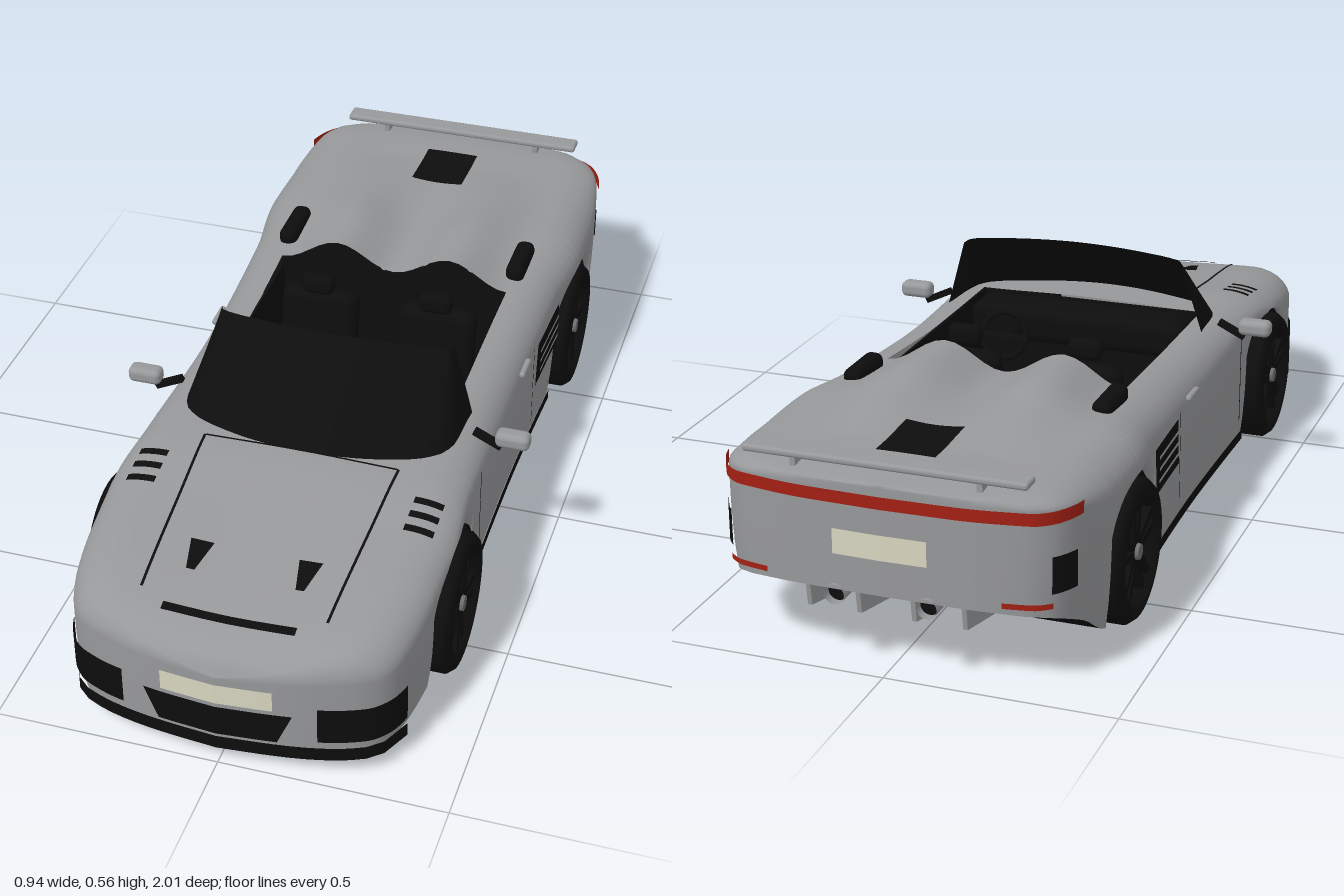
import * as THREE from 'three';
import { RoundedBoxGeometry } from 'three/addons/geometries/RoundedBoxGeometry.js';

const mat = (name, color, side = THREE.DoubleSide) => {
  const m = new THREE.MeshStandardMaterial({ color, side });
  m.name = name;
  return m;
};

// Smooth monotone interpolation through [z, value] pairs
function table(p) {
  const s = p.slice(1).map((q, i) => (q[1] - p[i][1]) / (q[0] - p[i][0]));
  const m = p.map((_, i) => {
    if (i === 0) return s[0];
    if (i === p.length - 1) return s[i - 1];
    return s[i - 1] * s[i] <= 0 ? 0 : (2 * s[i - 1] * s[i]) / (s[i - 1] + s[i]);
  });
  return (z) => {
    if (z <= p[0][0]) return p[0][1];
    let i = 0;
    while (i < p.length - 1 && z > p[i + 1][0]) i++;
    if (i === p.length - 1) return p[i][1];
    const h = p[i + 1][0] - p[i][0], t = (z - p[i][0]) / h, t2 = t * t, t3 = t2 * t;
    return p[i][1] * (2 * t3 - 3 * t2 + 1) + m[i] * h * (t3 - 2 * t2 + t)
      + p[i + 1][1] * (3 * t2 - 2 * t3) + m[i + 1] * h * (t3 - t2);
  };
}

// Body curves along z: half width, centre and shoulder heights, shoulder roll, humps, underside
const W = table([[-1, 0], [-0.995, 0.17], [-0.985, 0.25], [-0.97, 0.32], [-0.93, 0.36], [-0.88, 0.38], [-0.75, 0.4], [-0.58, 0.405], [-0.4, 0.385], [0, 0.375], [0.4, 0.38], [0.55, 0.39], [0.7, 0.385], [0.8, 0.375], [0.88, 0.355], [0.93, 0.32], [0.96, 0.26], [0.98, 0.18], [0.99, 0.11], [1, 0]]);
const centreY = table([[-1, 0.425], [-0.9, 0.435], [-0.7, 0.435], [-0.5, 0.425], [-0.3, 0.415], [0, 0.4], [0.42, 0.395], [0.6, 0.365], [0.8, 0.33], [0.9, 0.31], [0.95, 0.295], [0.98, 0.275], [1, 0.24]]);
const shoulderY = table([[-1, 0.42], [-0.9, 0.43], [-0.6, 0.43], [-0.3, 0.41], [0, 0.395], [0.42, 0.39], [0.6, 0.368], [0.8, 0.342], [0.9, 0.32], [0.95, 0.298], [0.98, 0.27], [1, 0.24]]);
const roll = table([[-1, 0.015], [-0.9, 0.04], [-0.7, 0.08], [0, 0.08], [0.5, 0.05], [0.7, 0.06], [0.9, 0.07], [0.97, 0.03], [1, 0.005]]);
const hump = table([[-0.8, 0], [-0.6, 0.028], [-0.45, 0.052], [-0.3, 0.06]]);
const underY = table([[-1, 0.185], [-0.95, 0.17], [-0.85, 0.125], [-0.74, 0.06], [0.9, 0.06], [1, 0.075]]);

const ARCHES = [0.54, -0.575], R = 0.17, AXLE = 0.16, EDGE = 0.74;
const bottomY = (z) => ARCHES.reduce((y, c) => {
  const d = Math.abs(z - c);
  return d <= R + 1e-6 ? Math.max(y, AXLE + Math.sqrt(Math.max(0, R * R - d * d))) : y;
}, underY(z));

// Height of the upper surface at fraction f of the half width
function deckF(f, z) {
  const k = Math.min(1, f / EDGE), e = Math.max(0, (f - EDGE) / (1 - EDGE));
  const y = THREE.MathUtils.lerp(centreY(z), shoulderY(z), k * k * (3 - 2 * k));
  const bump = z < -0.29 ? hump(z) * Math.sin(Math.PI * k) ** 2 : 0;
  return y + bump - roll(z) * (1 - Math.sqrt(Math.max(0, 1 - e * e)));
}
const deck = (x, z) => deckF(Math.min(1, Math.abs(x) / W(z)), z);

// Position of the nose or tail surface at a given x
function endZ(x, sign) {
  let a = 0.6, b = 1;
  for (let i = 0; i < 30; i++) {
    const c = (a + b) / 2;
    if (W(sign * c) > Math.abs(x)) a = c; else b = c;
  }
  return sign * a;
}

// Grid of points to a smooth surface; keep(i, j) can leave cells open
function surface(rows, keep = () => true) {
  const n = rows[0].length, index = [];
  for (let i = 0; i < rows.length - 1; i++) for (let j = 0; j < n - 1; j++) {
    if (!keep(i, j)) continue;
    const a = i * n + j, b = a + n;
    index.push(a, b, a + 1, b, b + 1, a + 1);
  }
  const g = new THREE.BufferGeometry();
  g.setAttribute('position', new THREE.Float32BufferAttribute(rows.flat(2), 3));
  g.setIndex(index);
  g.computeVertexNormals();
  return g;
}
const patch = (fn, nu = 12, nv = 4) => surface(Array.from({ length: nu + 1 }, (_, i) =>
  Array.from({ length: nv + 1 }, (_, j) => fn(i / nu, j / nv))));

export function createModel() {
  const car = new THREE.Group();
  const silver = mat('silver paint', 0x97989a), black = mat('black trim', 0x0d0d0d);
  const red = mat('red lamp', 0xa32014), cream = mat('cream plate', 0xd8d6c0), steel = mat('brake steel', 0x6c6d70);
  const lerp = THREE.MathUtils.lerp;
  const add = (name, geo, m, x = 0, y = 0, z = 0, parent = car) => {
    const o = new THREE.Mesh(geo, m);
    o.name = name;
    o.position.set(x, y, z);
    parent.add(o);
    return o;
  };
  const box = (name, w, h, d, m, x, y, z, parent) => add(name, new THREE.BoxGeometry(w, h, d), m, x, y, z, parent);
  const round = (name, w, h, d, r, m, x, y, z) => add(name, new RoundedBoxGeometry(w, h, d, 3, r), m, x, y, z);

  // Body shell with wheel arches and open cockpit
  const zs = Array.from({ length: 81 }, (_, i) => (i - 40) / 40);
  [0.985, 0.99, 0.994, 0.997, 0.999].forEach((z) => zs.push(z, -z));
  ARCHES.forEach((c) => {
    for (let k = 0; k <= 20; k++) zs.push(c + R * Math.cos((k * Math.PI) / 20));
    zs.push(c + R + 0.0005, c - R - 0.0005);
  });
  zs.sort((a, b) => a - b);
  const fr = [...Array.from({ length: 13 }, (_, i) => (EDGE * i) / 12), 0.8, 0.86, 0.91, 0.95, 0.98, 0.995, 1];
  const rows = zs.map((z) => {
    const w = W(z), b = bottomY(z), half = fr.map((f) => [f * w, Math.max(b, deckF(f, z))]);
    const edge = half[half.length - 1][1];
    for (let k = 1; k <= 5; k++) half.push([w * (1 - 0.03 * (k / 5) ** 3), lerp(edge, b, k / 5)]);
    const left = half.slice(1).reverse().map(([x, y]) => [-x, y, z]);
    return [...left, ...half.map(([x, y]) => [x, y, z])];
  });
  const mid = (rows[0].length - 1) / 2;
  add('bodyShell', surface(rows, (i, j) => {
    const zc = (zs[i] + zs[i + 1]) / 2;
    return !(zc > -0.3 && zc < 0.3 && j >= mid - 12 && j < mid + 12);
  }), silver);

  // Underside, kept clear of the wheels
  add('underside', surface(zs.map((z) => {
    const w = ARCHES.some((c) => Math.abs(z - c) <= R + 1e-6) ? 0.25 : W(z) * 0.97;
    return [-1, 0, 1].map((s) => [s * w, underY(z) + 0.001, z]);
  })), black);

  // Panels that follow the nose, tail, deck and flanks
  const onEnd = (name, sign, x0, x1, yLow, yHigh, m, taper = 1) => add(name, patch((u, v) => {
    const x = lerp(x0, x1, u) * lerp(taper, 1, v), s = 1.012;
    return [x * s, lerp(yLow, yHigh, v), endZ(x, sign) + sign * 0.005];
  }, 24, 3), m);
  const onDeck = (name, x0, x1, z0, z1, m, taper = 1, shift = 0) => add(name, patch((u, v) => {
    const z = lerp(z0, z1, v), c = (x0 + x1) / 2;
    const x = c + (lerp(x0, x1, u) - c) * lerp(1, taper, v) + shift * v;
    return [x, deck(x, z) + 0.004, z];
  }, 6, 10), m);
  const onSide = (name, s, z0, z1, y0, y1, m, off = 0.004, slant = 0) => add(name, patch((u, v) => {
    const z = lerp(z0, z1, u) + slant * v;
    return [s * (W(z) + off), lerp(y0, y1, v), z];
  }, 10, 2), m);

  onEnd('frontPlate', 1, -0.12, 0.12, 0.175, 0.225, cream);
  onEnd('centreIntake', 1, -0.16, 0.16, 0.09, 0.165, black, 0.8);
  onEnd('frontLip', 1, -0.365, 0.365, 0.05, 0.083, black);
  onEnd('rearPlate', -1, -0.1, 0.1, 0.265, 0.32, cream);
  add('tailLamp', patch((u, v) => {
    const x = 0.381 * Math.sin((u - 0.5) * Math.PI), y = lerp(0.375, 0.402, v);
    return [x * 1.012, y, endZ(x, -1) - 0.004];
  }, 48, 2), red);
  onDeck('noseSlot', -0.145, 0.145, 0.893, 0.912, black);
  onDeck('hoodRearGap', -0.22, 0.22, 0.418, 0.423, black);
  onDeck('engineHatch', -0.065, 0.065, -0.86, -0.7, black);

  for (const s of [1, -1]) {
    onEnd('sideIntake', 1, s * 0.21, s * 0.365, 0.1, 0.19, black);
    onEnd('rearReflector', -1, s * 0.25, s * 0.345, 0.195, 0.207, red);
    onDeck('hoodNostril', s * 0.12 - 0.026, s * 0.12 + 0.026, 0.72, 0.8, black, 0.35);
    onDeck('hoodGap', s * 0.222 - 0.003, s * 0.222 + 0.003, 0.42, 0.87, black, 1, s * -0.02);
    for (const z of [0.5, 0.54, 0.58]) onDeck('fenderLouvre', s * 0.28, s * 0.345, z - 0.009, z + 0.009, black);
    onSide('doorFrontGap', s, 0.307, 0.312, 0.12, 0.34, black, 0.002);
    onSide('doorRearGap', s, -0.2, -0.197, 0.12, 0.33, black, 0.002);
    onSide('sill', s, -0.4, 0.365, 0.05, 0.075, black, -0.006);
    // Slatted flank vent
    onSide('flankVent', s, -0.405, -0.215, 0.215, 0.325, black, 0.004, -0.012);
    for (const y of [0.243, 0.27, 0.297]) onSide('ventSlat', s, -0.4, -0.235, y, y + 0.008, silver, 0.009);
    onSide('rearSideVent', s, -0.955, -0.9, 0.225, 0.305, black, 0.006);
    round('doorHandle', 0.014, 0.014, 0.07, 0.006, silver, s * 0.379, 0.34, -0.105);
    round('deckScoop', 0.045, 0.045, 0.14, 0.018, black, s * 0.287, 0.425, -0.42);
    // Door mirror
    round('mirror', 0.078, 0.038, 0.042, 0.014, silver, s * 0.432, 0.391, 0.237);
    box('mirrorStalk', 0.07, 0.014, 0.016, black, s * 0.375, 0.38, 0.237).rotation.z = s * -0.45;
    // Exhaust pipe and diffuser fins
    const pipe = add('exhaust', new THREE.CylinderGeometry(0.022, 0.022, 0.1, 20, 1, true), silver, s * 0.1, 0.175, -0.955);
    pipe.rotation.x = Math.PI / 2;
    add('exhaustBore', new THREE.CircleGeometry(0.021, 20), black, s * 0.1, 0.175, -0.985);
    for (const x of [0.06, 0.17]) {
      const fin = new THREE.Shape([[0.76, 0.075], [0.96, 0.12], [0.97, 0.19], [0.9, 0.17]].map((p) => new THREE.Vector2(...p)));
      const f = add('diffuserFin', new THREE.ExtrudeGeometry(fin, { depth: 0.01, bevelEnabled: false }), silver, s * x, 0, 0);
      f.rotation.y = Math.PI / 2;
    }
    // Rear wing supports
    box('wingSupport', 0.012, 0.03, 0.03, silver, s * 0.2, 0.438, -0.95);
    // Seat
    round('seatBase', 0.19, 0.08, 0.22, 0.03, black, s * 0.145, 0.2, -0.05);
    round('seatBack', 0.19, 0.25, 0.06, 0.028, black, s * 0.145, 0.29, -0.17).rotation.x = -0.15;
    round('headrest', 0.08, 0.05, 0.04, 0.018, black, s * 0.145, 0.44, -0.165);
    box('cockpitWall', 0.006, 0.3, 0.62, black, s * 0.279, 0.24, 0);
  }
  round('rearWing', 0.61, 0.016, 0.05, 0.007, silver, 0, 0.455, -0.955);

  // Cockpit interior
  box('cockpitFloor', 0.56, 0.01, 0.62, black, 0, 0.1, 0);
  box('footBulkhead', 0.56, 0.29, 0.006, black, 0, 0.245, 0.3);
  box('tunnel', 0.07, 0.12, 0.5, black, 0, 0.16, 0);
  round('dashboard', 0.54, 0.09, 0.12, 0.03, black, 0, 0.35, 0.23);
  add('rearBulkhead', patch((u, v) => {
    const x = lerp(-0.282, 0.282, u);
    return [x, lerp(0.1, deck(x, -0.3) - 0.001, v), -0.298];
  }, 24, 2), black);
  const wheel = add('steeringWheel', new THREE.TorusGeometry(0.055, 0.008, 8, 28), black, 0.14, 0.36, 0.07);
  wheel.rotation.x = 0.35;
  box('steeringSpoke', 0.1, 0.014, 0.008, black, 0, 0, 0, wheel);
  const column = add('steeringColumn', new THREE.CylinderGeometry(0.012, 0.012, 0.13, 12), black, 0.14, 0.345, 0.13);
  column.rotation.x = Math.PI / 2 + 0.2;

  // Wraparound windscreen
  const curve = (pts) => new THREE.CatmullRomCurve3(pts.map((p) => new THREE.Vector3(...p)));
  const mirrored = (h) => curve([...h.slice(1).reverse().map(([x, y, z]) => [-x, y, z]), ...h]);
  const base = mirrored([[0, 0.394, 0.42], [0.17, 0.392, 0.395], [0.295, 0.388, 0.335], [0.32, 0.39, 0.165]]);
  const top = mirrored([[0, 0.566, 0.205], [0.15, 0.563, 0.195], [0.262, 0.557, 0.17], [0.272, 0.553, 0.15]]);
  add('windscreen', patch((u, v) => base.getPoint(u).lerp(top.getPoint(u), v).toArray(), 36, 4), black);

  // Wheels and arch liners
  const tyre = new THREE.LatheGeometry([[0.11, -0.065], [0.145, -0.065], [0.157, -0.05], [0.157, 0.05], [0.145, 0.065], [0.118, 0.067], [0.114, 0.03], [0.11, -0.065]]
    .map((p) => new THREE.Vector2(...p)), 40);
  for (const z of ARCHES) for (const s of [1, -1]) {
    const w = new THREE.Group();
    w.name = z > 0 ? 'frontWheel' : 'rearWheel';
    w.position.set(s * 0.345, AXLE, z);
    w.rotation.z = -s * Math.PI / 2;
    car.add(w);
    add('tyre', tyre, black, 0, 0, 0, w);
    add('wheelBack', new THREE.CylinderGeometry(0.115, 0.115, 0.02, 32), black, 0, -0.02, 0, w);
    add('brakeDisc', new THREE.CylinderGeometry(0.085, 0.085, 0.012, 32), steel, 0, 0.01, 0, w);
    add('hub', new THREE.CylinderGeometry(0.017, 0.02, 0.02, 16), steel, 0, 0.053, 0, w);
    for (let k = 0; k < 5; k++) {
      const arm = new THREE.Group();
      arm.rotation.y = (k * Math.PI * 2) / 5;
      w.add(arm);
      for (const t of [1, -1]) box('spoke', 0.105, 0.02, 0.018, black, 0.062, 0.045, t * 0.014, arm).rotation.y = t * -0.12;
    }
    const liner = add('archLiner', new THREE.CylinderGeometry(R, R, 0.17, 32, 1, true, 0, Math.PI), black, s * 0.295, AXLE, z);
    liner.rotation.z = Math.PI / 2;
    box('archInnerWall', 0.006, 0.25, 0.34, black, s * 0.245, 0.185, z);
  }
  return car;
}
